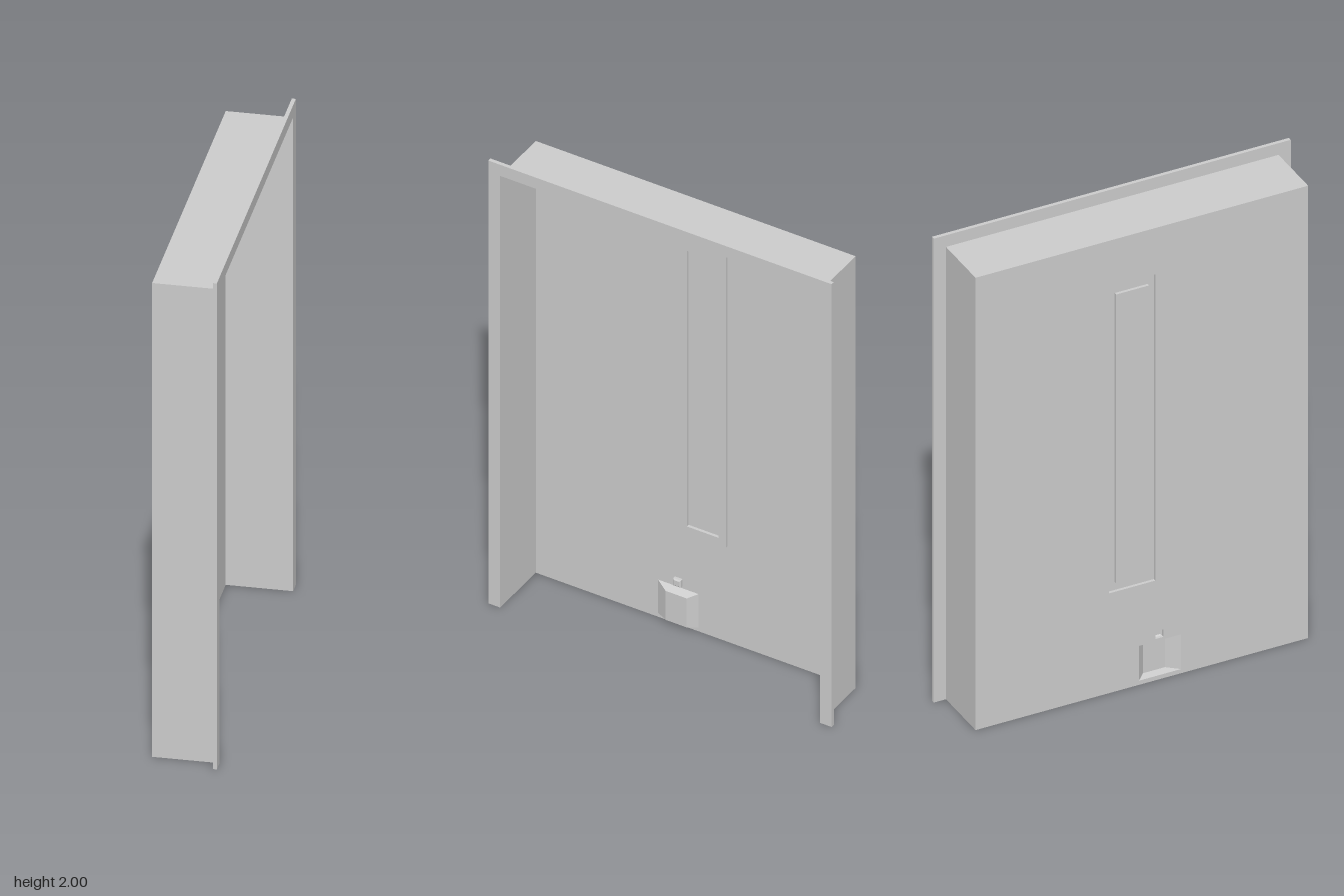
import * as THREE from 'three';

const material = new THREE.MeshStandardMaterial({ color: 0xcccccc, side: THREE.DoubleSide });
const BACK = -0.125, LIP = 0.11, FRONT = 0.125;

// Corners run counter-clockwise seen from +x, in (u, y) with u = -z.
const rect = (u0, u1, y0, y1) => [[u0, y0], [u1, y0], [u1, y1], [u0, y1]];
const toShape = (pts) => new THREE.Shape(pts.map(([u, y]) => new THREE.Vector2(u, y)));

export function createModel() {
  const model = new THREE.Group();
  const add = (name, geometry) => {
    const mesh = new THREE.Mesh(geometry, material);
    mesh.name = name;
    model.add(mesh);
  };

  // Flat sheet facing +x
  const sheet = (name, shape, x) =>
    add(name, new THREE.ShapeGeometry(shape).rotateY(Math.PI / 2).translate(x, 0, 0));

  // Flat-faced skin through successive [loop, x] sections
  const skin = (name, sections, closed = true) => {
    const pos = [];
    for (let s = 0; s < sections.length - 1; s++) {
      const [a, xa] = sections[s], [b, xb] = sections[s + 1];
      for (let i = 0; i < a.length - (closed ? 0 : 1); i++) {
        const j = (i + 1) % a.length;
        const p = [xa, a[i][1], -a[i][0]], q = [xa, a[j][1], -a[j][0]];
        const r = [xb, b[j][1], -b[j][0]], t = [xb, b[i][1], -b[i][0]];
        pos.push(...p, ...q, ...r, ...p, ...r, ...t);
      }
    }
    const g = new THREE.BufferGeometry();
    g.setAttribute('position', new THREE.Float32BufferAttribute(pos, 3));
    g.computeVertexNormals();
    add(name, g);
  };

  // Section outlines
  const windowOuter = rect(-0.055, 0.135, 0.43, 1.75);
  const windowInner = rect(-0.03, 0.105, 0.465, 1.71);
  const scoopBase = rect(-0.16, 0.012, 0.018, 0.168);
  const scoopFace = rect(-0.11, -0.02, 0.024, 0.155);
  const knobBase = rect(-0.088, -0.056, 0.178, 0.21);
  const knobFace = rect(-0.083, -0.061, 0.183, 0.205);

  // Door panel, pierced where the pressed details rise from it
  const panel = toShape(rect(-0.68, 0.68, 0, 1.95));
  panel.holes.push(...[windowOuter, scoopBase, knobBase].map(toShape));
  sheet('doorPanel', panel, BACK);

  // Side walls and head of the recess, open at the floor
  const opening = [[0.68, 0], [0.68, 1.95], [-0.68, 1.95], [-0.68, 0]];
  skin('recessWalls', [[opening, BACK], [opening, LIP]], false);

  // Flange around the front of the opening
  const flange = toShape([[0.73, 0], [0.73, 2], [-0.73, 2], [-0.73, 0],
    [-0.68, 0], [-0.68, 1.95], [0.68, 1.95], [0.68, 0]]);
  add('flange', new THREE.ExtrudeGeometry(flange, { depth: FRONT - LIP, bevelEnabled: false })
    .rotateY(Math.PI / 2).translate(LIP, 0, 0));

  // Raised window surround and its pane
  skin('windowFrame', [[windowOuter, BACK], [windowOuter, BACK + 0.012],
    [windowInner, BACK + 0.012], [windowInner, BACK]]);
  sheet('windowPane', toShape(windowInner), BACK);

  // Hollow scoop handle near the floor
  skin('scoopSides', [[scoopBase, BACK], [scoopFace, BACK + 0.03]]);
  sheet('scoopFace', toShape(scoopFace), BACK + 0.03);

  // Small knob above the scoop
  skin('knobSides', [[knobBase, BACK], [knobBase, BACK + 0.012], [knobFace, BACK + 0.016]]);
  sheet('knobFace', toShape(knobFace), BACK + 0.016);

  return model;
}
